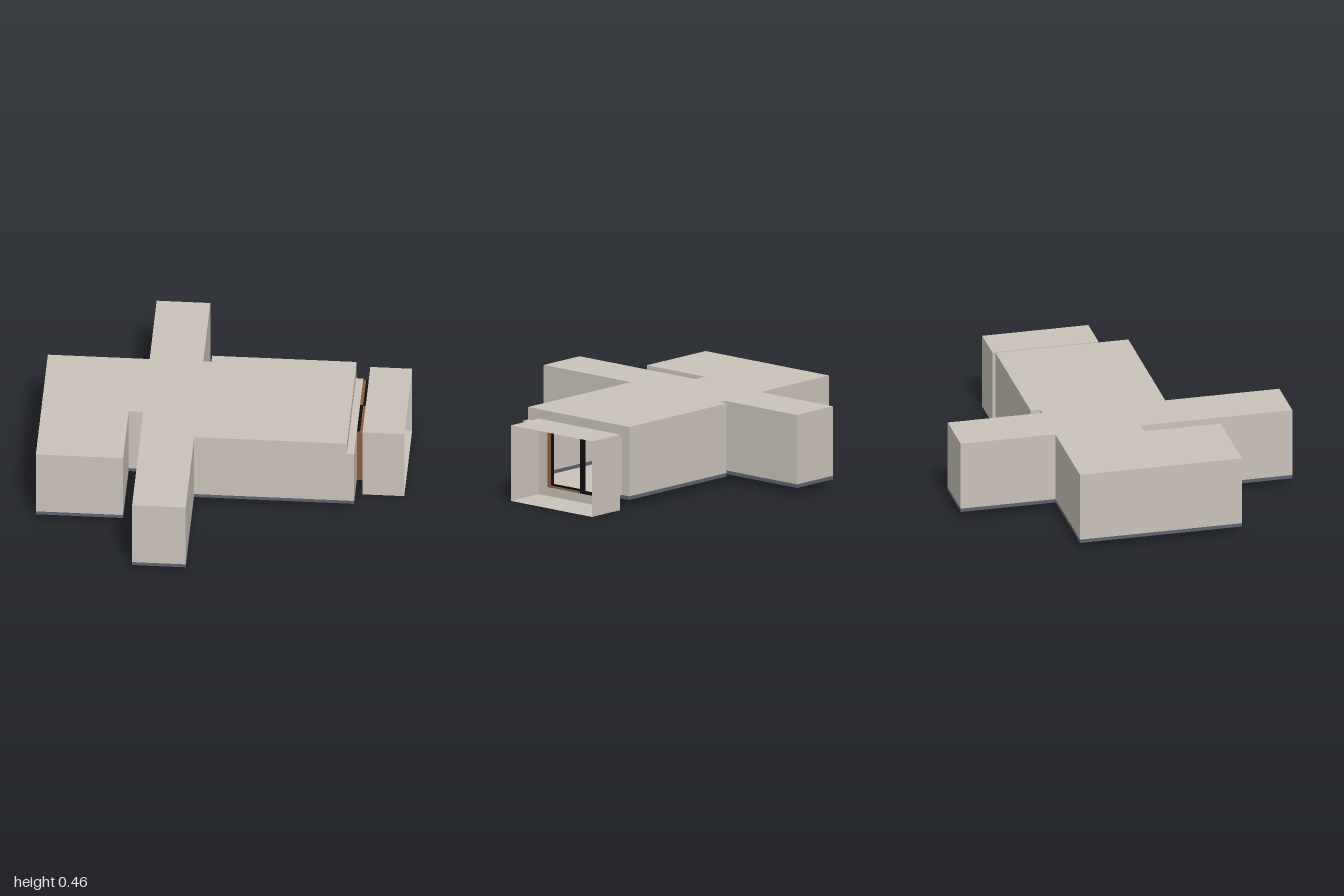
import * as THREE from 'three';

const mat = (name, color, side = THREE.FrontSide) =>
  Object.assign(new THREE.MeshStandardMaterial({ color }), { name, side });

export function createModel() {
  const model = new THREE.Group();
  const stone = mat('stone', 0xc9c2b8, THREE.DoubleSide);
  const slate = mat('slate', 0x5c6272, THREE.DoubleSide);
  const brown = mat('brown', 0x8c5a3c);
  const black = mat('black', 0x0c0c0c);
  const steel = mat('steel', 0x8f98ac);

  const group = (name) => {
    const g = new THREE.Group();
    g.name = name;
    model.add(g);
    return g;
  };
  const add = (parent, name, geometry, material) => {
    const m = new THREE.Mesh(geometry, material);
    m.name = name;
    parent.add(m);
    return m;
  };
  // box given by its limits on each axis
  const box = (parent, name, material, [x0, x1], [y0, y1], [z0, z1]) =>
    add(parent, name, new THREE.BoxGeometry(x1 - x0, y1 - y0, z1 - z0), material)
      .position.set((x0 + x1) / 2, (y0 + y1) / 2, (z0 + z1) / 2);
  // upright sheet from one plan point to the next, facing outward
  const wall = (parent, name, material, [ax, az], [bx, bz], y0, y1) => {
    const m = add(parent, name, new THREE.PlaneGeometry(Math.hypot(bx - ax, bz - az), y1 - y0), material);
    m.position.set((ax + bx) / 2, (y0 + y1) / 2, (az + bz) / 2);
    m.rotation.y = Math.atan2(az - bz, bx - ax);
  };
  // level sheet over a plan outline
  const slab = (parent, name, points, y, up = true) => {
    const shape = new THREE.Shape(points.map(([x, z]) => new THREE.Vector2(x, up ? -z : z)));
    const m = add(parent, name, new THREE.ShapeGeometry(shape), stone);
    m.rotation.x = up ? -Math.PI / 2 : Math.PI / 2;
    m.position.y = y;
  };

  const base = 0.045, trimTop = 0.065, roof = 0.455, ledge = 0.385;
  const endX = 0.695, porchX = 0.735, porchBack = -0.405, frontZ = 0.29;
  const doorY = [0.05, 0.38], doorZ = [-0.4, 0.077];

  // Building shell, plan outline starting at the front of the porch end
  const building = group('building');
  const plan = [
    [endX, frontZ], [endX, -0.46], [-0.1, -0.46], [-0.1, -0.405], [-0.145, -0.405],
    [-0.145, -0.94], [-0.44, -0.94], [-0.44, -0.405], [-1, -0.405], [-1, 0.51],
    [-0.52, 0.51], [-0.52, 0.08], [-0.44, 0.08], [-0.44, 0.935], [-0.145, 0.935], [-0.145, frontZ],
  ];
  const trimmedWall = (a, b, top) => {
    wall(building, 'baseTrim', slate, a, b, base, trimTop);
    wall(building, 'wall', stone, a, b, trimTop, top);
  };
  plan.forEach((a, i) => {
    if (i > 0) trimmedWall(a, plan[(i + 1) % plan.length], roof);
  });
  wall(building, 'upperEndWall', stone, plan[0], plan[1], ledge, roof);
  trimmedWall([endX, porchBack], plan[1], ledge);
  slab(building, 'roof', plan, roof);
  slab(building, 'floor', plan, base, false);

  // Lower porch with the doorway opening
  const porch = [[endX, frontZ], [porchX, frontZ], [porchX, porchBack], [endX, porchBack]];
  slab(building, 'porchRoof', porch, ledge);
  slab(building, 'porchFloor', porch, base, false);
  trimmedWall(porch[0], porch[1], ledge);
  trimmedWall(porch[2], porch[3], ledge);
  trimmedWall(porch[1], [porchX, doorZ[1]], ledge);
  wall(building, 'doorHead', stone, [porchX, doorZ[1]], porch[2], doorY[1], ledge);
  wall(building, 'doorSill', stone, [porchX, doorZ[1]], porch[2], base, doorY[0]);

  // Hollow collar, open to the outside, with a doorway in its inner plate
  const collar = group('collar');
  const cx0 = 0.77, cx1 = 1, cTop = 0.425, cz0 = -0.46, cz1 = 0.14;
  const rim = [[cx0, cz1], [cx1, cz1], [cx1, cz0], [cx0, cz0]];
  wall(collar, 'collarFront', stone, rim[0], rim[1], 0, cTop);
  wall(collar, 'collarBack', stone, rim[2], rim[3], 0, cTop);
  slab(collar, 'collarTop', rim, cTop);
  slab(collar, 'collarBottom', rim, 0, false);
  const rect = (Type, [z0, z1], [y0, y1]) => new Type([
    new THREE.Vector2(z0, y0), new THREE.Vector2(z1, y0),
    new THREE.Vector2(z1, y1), new THREE.Vector2(z0, y1),
  ]);
  const plate = rect(THREE.Shape, [cz0, cz1], [0, cTop]);
  plate.holes.push(rect(THREE.Path, doorZ, doorY));
  const plateMesh = add(collar, 'collarInnerPlate', new THREE.ShapeGeometry(plate), stone);
  plateMesh.rotation.y = -Math.PI / 2;
  plateMesh.position.x = cx0;

  // Rectangular ring of four bars
  const ring = (parent, name, material, x, [y0, y1], [z0, z1], t) => {
    box(parent, name, material, x, [y0, y0 + t], [z0, z1]);
    box(parent, name, material, x, [y1 - t, y1], [z0, z1]);
    box(parent, name, material, x, [y0 + t, y1 - t], [z0, z0 + t]);
    box(parent, name, material, x, [y0 + t, y1 - t], [z1 - t, z1]);
  };

  // Two sliding door leaves on staggered tracks, each beside a brown lining
  const doors = group('slidingDoors');
  const inner = [porchX, 0.752], outer = [0.752, 0.769];
  [[outer, inner, [-0.4, -0.16]], [inner, outer, [-0.17, 0.075]]].forEach(([leaf, lining, z]) => {
    ring(doors, 'doorFrame', black, leaf, doorY, z, 0.014);
    const zl = z[0] < -0.3 ? [z[0], -0.17] : [-0.16, z[1]];
    box(doors, 'headLining', brown, lining, [0.374, 0.38], zl);
    box(doors, 'sillLining', brown, lining, [0.05, 0.056], zl);
    const side = z[0] < -0.3 ? [z[0], z[0] + 0.006] : [z[1] - 0.006, z[1]];
    box(doors, 'sideLining', brown, lining, [0.056, 0.374], side);
    // Slim upright pull
    const h = z[0] < -0.3 ? -0.388 : -0.158;
    box(doors, 'doorPull', steel, [leaf[0] + 0.004, leaf[1] + 0.004], [0.09, 0.33], [h - 0.004, h + 0.004]);
  });
  box(doors, 'frontJamb', brown, [porchX, 0.77], doorY, [0.075, 0.078]);

  return model;
}
